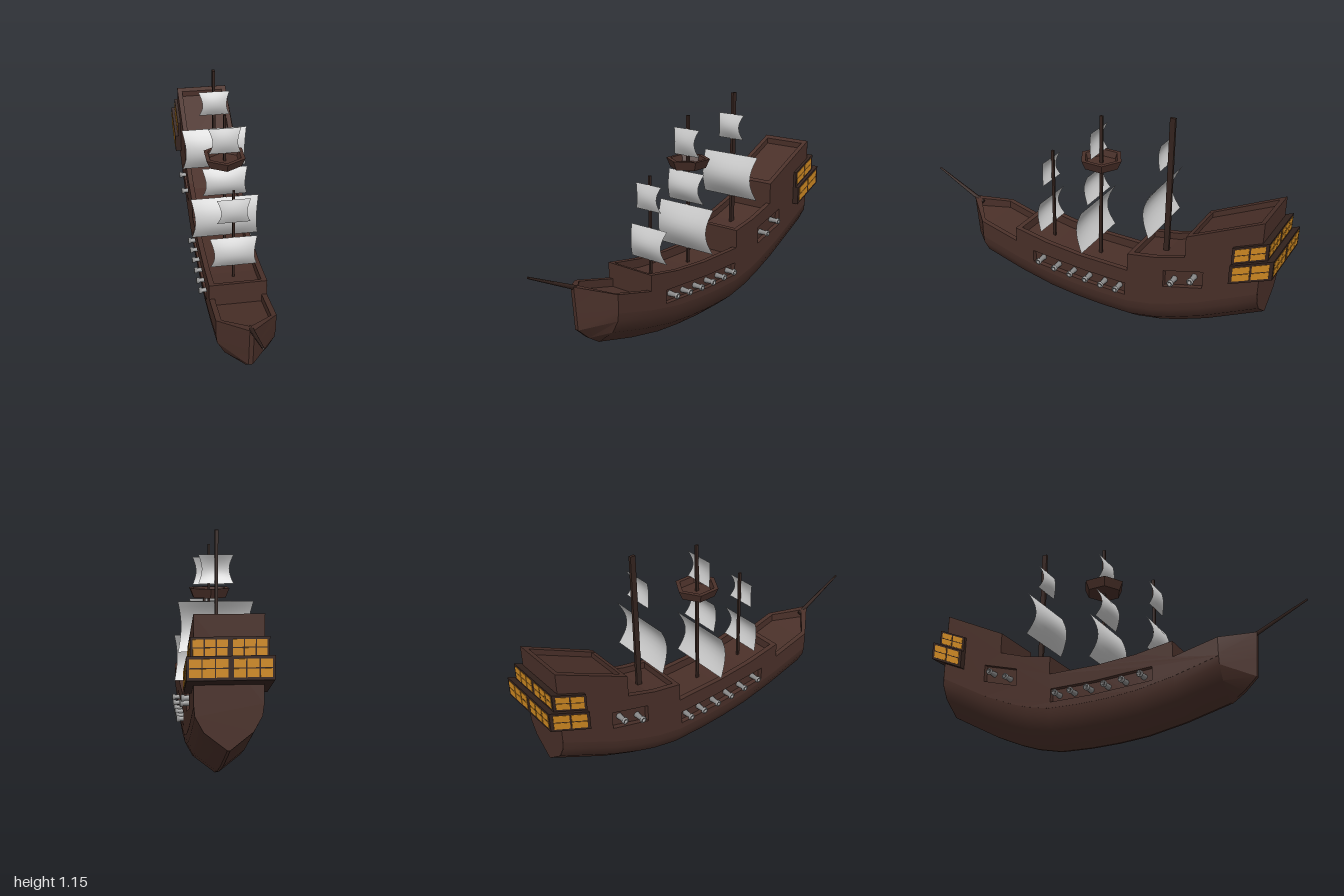
import * as THREE from 'three';
import { toCreasedNormals } from 'three/addons/utils/BufferGeometryUtils.js';

const mat = (color, side = THREE.DoubleSide) => new THREE.MeshStandardMaterial({ color, side });
const wood = mat(0x4a3029), darkWood = mat(0x35241f), cloth = mat(0xcccccc);
const iron = mat(0x8c8c8c), amber = mat(0xd08a22);

// Surface through a grid of [x, y, z] points
function loft(rows, crease = 0.5) {
  const n = rows[0].length, index = [];
  for (let i = 0; i < rows.length - 1; i++)
    for (let j = 0; j < n - 1; j++) {
      const a = i * n + j, b = a + n;
      index.push(a, a + 1, b, a + 1, b + 1, b);
    }
  const g = new THREE.BufferGeometry();
  g.setAttribute('position', new THREE.Float32BufferAttribute(rows.flat(2), 3));
  g.setIndex(index);
  return toCreasedNormals(g, crease);
}

const shapeOf = pts => new THREE.Shape(pts.map(p => new THREE.Vector2(...p)));

// Extrude a side profile given as [z, y] across x
function sideExtrude(shape, x0, x1) {
  const g = new THREE.ExtrudeGeometry(shape, { depth: x1 - x0, bevelEnabled: false });
  return g.rotateY(-Math.PI / 2).translate(x1, 0, 0);
}

export function createModel() {
  const model = new THREE.Group();
  const add = (name, geo, material, parent = model) => {
    const m = new THREE.Mesh(geo, material);
    m.name = name;
    parent.add(m);
    return m;
  };

  // Lower hull: one rounded V section lifted along the keel curve
  const keel = [[-0.93, 0.285], [-0.8, 0.215], [-0.65, 0.135], [-0.5, 0.07], [-0.4, 0.035], [-0.27, 0.006],
    [-0.1, 0], [0.05, 0.003], [0.2, 0.015], [0.39, 0.05], [0.61, 0.107]];
  const half = [[0.006, 0], [0.1, 0.075], [0.135, 0.14], [0.14, 0.19]];
  const ring = side => [...side.map(([x, y, z]) => [-x, y, z]).reverse(), ...side];
  add('lowerHull', loft(keel.map(([z, k]) => ring(half.map(([x, y]) => [x, y + k, z])))), wood);

  // Side walls with stepped rail and gun slots
  const rail = [[0.61, 0.378], [0.39, 0.325], [0.39, 0.405], [0.2, 0.375], [0, 0.362], [-0.27, 0.365],
    [-0.27, 0.46], [-0.42, 0.49], [-0.57, 0.54], [-0.57, 0.65], [-0.93, 0.83]];
  const slots = [
    [[0.285, 0.298], [0.285, 0.23], [-0.03, 0.215], [-0.26, 0.217], [-0.26, 0.285], [-0.03, 0.283]],
    [[-0.465, 0.43], [-0.465, 0.34], [-0.665, 0.4], [-0.665, 0.49]]];
  const wall = shapeOf([...keel.map(([z, k]) => [z, k + 0.18]), ...rail]);
  wall.holes = slots.map(s => new THREE.Path(s.map(p => new THREE.Vector2(...p))));
  add('leftWall', sideExtrude(wall, 0.114, 0.14), wood);
  add('rightWall', sideExtrude(wall, -0.14, -0.114), wood);

  // Decks between the walls, with a raised beam at each step
  const deck = shapeOf([...keel.map(([z, k]) => [z, k + 0.15]),
    [0.61, 0.338], [0.39, 0.285], [0.39, 0.405], [0.368, 0.4], [0.368, 0.355], [0.2, 0.33], [0, 0.318], [-0.27, 0.32],
    [-0.27, 0.46], [-0.292, 0.463], [-0.292, 0.43], [-0.42, 0.455], [-0.57, 0.505],
    [-0.57, 0.65], [-0.592, 0.66], [-0.592, 0.632], [-0.905, 0.788], [-0.905, 0.818], [-0.93, 0.83]]);
  add('decks', sideExtrude(deck, -0.115, 0.115), wood);

  // Flat stern
  const sternSide = [...half.map(([x, y]) => [x, y + 0.285]), [0.14, 0.83]];
  const stern = new THREE.ShapeGeometry(shapeOf(ring(sternSide.map(p => [...p, 0])).map(p => p.slice(0, 2))));
  add('stern', stern.rotateY(Math.PI).translate(0, 0, -0.931), wood);

  // Bow: outer plank rows, rail top and inner face run to the stem
  const bowBase = [[0.006, 0.107, 0.61], [0.1, 0.182, 0.61], [0.135, 0.247, 0.61], [0.14, 0.297, 0.61],
    [0.14, 0.378, 0.61], [0.115, 0.378, 0.61], [0.115, 0.338, 0.61]];
  const stem = [[0.61, 0.107], [0.674, 0.15], [0.738, 0.21], [0.745, 0.3], [0.755, 0.425], [0.72, 0.42], [0.72, 0.375]];
  const stemRow = w => ring(stem.map(([z, y], i) => [i > 4 ? 0 : w, y, z]));
  add('bow', loft([ring(bowBase), stemRow(0.01), stemRow(0)], 0.3), wood);
  add('bowDeck', loft([[[0.115, 0.338, 0.61], [-0.115, 0.338, 0.61]], [[0, 0.375, 0.72], [0, 0.375, 0.72]]]), wood);

  // Bowsprit
  const sprit = add('bowsprit', new THREE.CylinderGeometry(0.005, 0.012, 0.32, 6), darkWood);
  sprit.position.set(0, 0.47, 0.853);
  sprit.rotation.x = Math.atan2(0.285, 0.135);

  // Cannons on both sides
  const barrel = new THREE.LatheGeometry([[0, 0], [0.015, 0], [0.011, 0.045], [0.016, 0.05], [0.016, 0.062],
    [0.008, 0.062], [0.008, 0.045], [0, 0.045]].map(p => new THREE.Vector2(...p)), 10);
  const guns = [[0.235, 0.262], [0.14, 0.252], [0.047, 0.247], [-0.045, 0.247], [-0.135, 0.247], [-0.22, 0.25],
    [-0.515, 0.39], [-0.615, 0.435]];
  for (const s of [1, -1])
    for (const [z, y] of guns) {
      const gun = add('cannon', barrel, iron);
      gun.position.set(s * 0.11, y, z);
      gun.rotation.z = -s * Math.PI / 2;
    }

  // Stern galleries: two sloping tiers with amber panes
  const slope = g => {
    const p = g.attributes.position;
    for (let i = 0; i < p.count; i++) p.setY(i, p.getY(i) - (p.getZ(i) + 0.8) * 0.45);
    g.computeVertexNormals();
    return g;
  };
  for (const [w, y0, y1, end] of [[0.155, 0.588, 0.672, -0.965], [0.172, 0.492, 0.588, -0.997]]) {
    const tier = new THREE.Group();
    tier.name = 'sternGallery';
    model.add(tier);
    const len = -0.8 - end, h = y1 - y0, mid = (y0 + y1) / 2;
    add('galleryFrame', slope(new THREE.BoxGeometry(2 * w, h, len).translate(0, mid, end + len / 2)), darkWood, tier);
    const paneH = h * 0.35;
    for (const r of [-1, 1]) {
      const y = mid + r * h * 0.2;
      for (const s of [1, -1])
        for (const c of [0.28, 0.72])
          add('sidePane', slope(new THREE.BoxGeometry(0.004, paneH, len * 0.39)
            .translate(s * w, y, -0.8 - len * c)), amber, tier);
      for (const s of [1, -1])
        for (let c = 0; c < 3; c++)
          add('backPane', new THREE.BoxGeometry(w * 0.27, paneH, 0.004)
            .translate(s * w * (0.2 + c * 0.3), y + len * 0.45, end), amber, tier);
    }
  }

  // Masts: [name, z, foot, top, width, depth]
  for (const [name, z, y0, y1, w, d] of [['mizzenMast', -0.412, 0.42, 1.15, 0.014, 0.027],
    ['mainMast', -0.042, 0.3, 1.08, 0.011, 0.016], ['foreMast', 0.24, 0.32, 0.83, 0.011, 0.014]])
    add(name, new THREE.BoxGeometry(w, y1 - y0, d).translate(0, (y0 + y1) / 2, z), darkWood);

  // Lookout: six-sided open tub
  const tub = new THREE.LatheGeometry([[0, 0.82], [0.09, 0.82], [0.11, 0.866], [0.088, 0.866], [0.078, 0.835],
    [0, 0.835]].map(p => new THREE.Vector2(...p)), 6);
  add('lookout', toCreasedNormals(tub, 0.2), wood).position.z = -0.042;

  // Sails: billowing forward, waisted at mid height
  function sail(halfWidth, y0, y1, z, belly, waist) {
    const rows = [], n = 10;
    for (let i = 0; i <= n; i++) {
      const v = i / n, b = Math.sin(Math.PI * v), row = [];
      for (let j = 0; j <= n; j++) {
        const u = 1 - 2 * j / n;
        row.push([u * (halfWidth - waist * b), y0 + (y1 - y0) * v, z + belly * b * (1 - 0.25 * u * u)]);
      }
      rows.push(row);
    }
    return loft(rows.reverse(), 1);
  }
  for (const [name, ...dims] of [
    ['mizzenSail', 0.172, 0.6, 0.83, -0.395, 0.055, 0.016], ['mizzenTopsail', 0.08, 0.91, 1.04, -0.395, 0.025, 0.018],
    ['mainSail', 0.172, 0.4, 0.63, -0.03, 0.052, 0.016], ['mainTopsail', 0.113, 0.645, 0.8, -0.03, 0.038, 0.016],
    ['mainTopgallant', 0.08, 0.88, 1.015, -0.03, 0.022, 0.018],
    ['foreSail', 0.115, 0.41, 0.575, 0.25, 0.036, 0.018], ['foreTopsail', 0.08, 0.66, 0.787, 0.25, 0.02, 0.018]])
    add(name, sail(...dims), cloth);

  return model;
}
